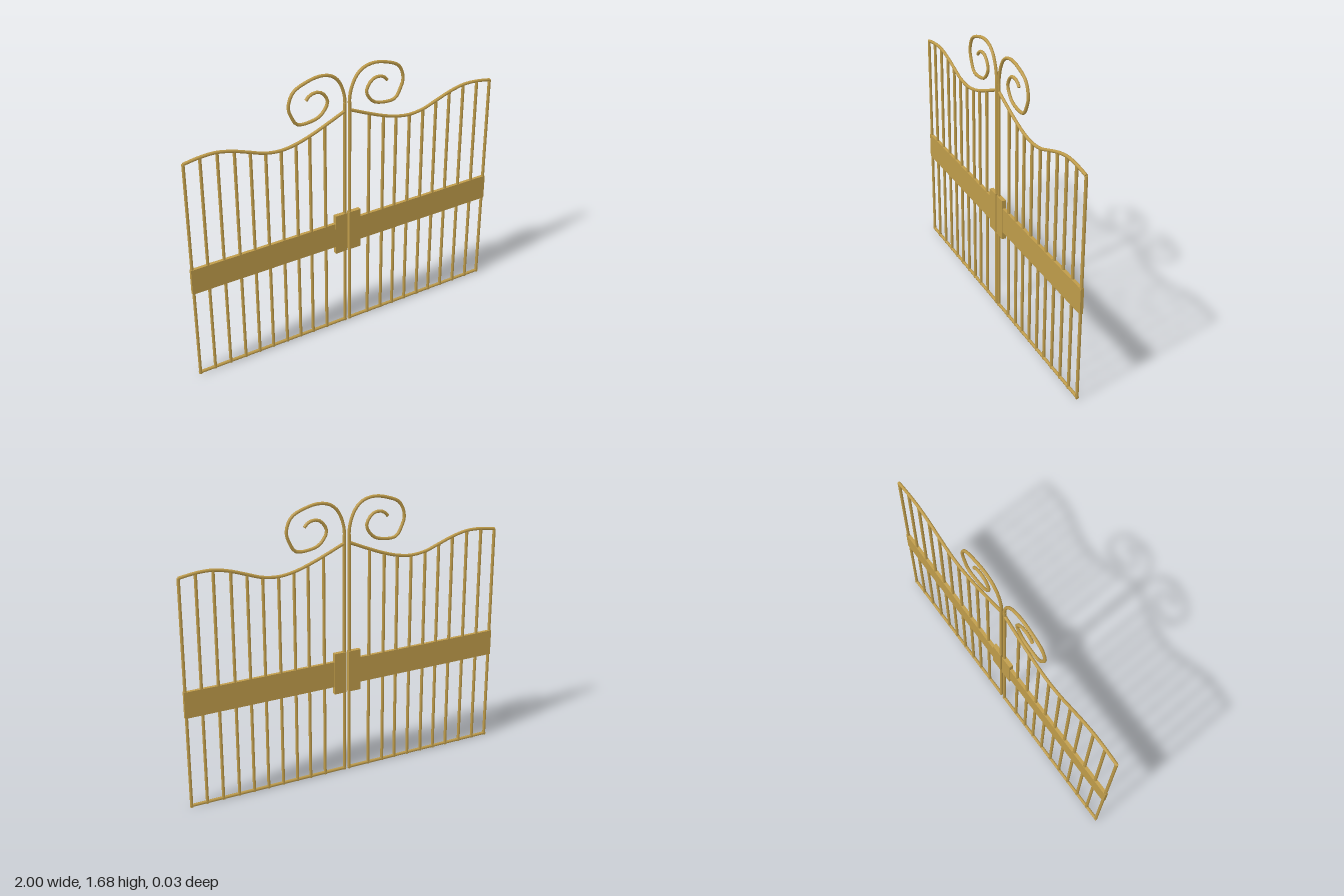
import * as THREE from 'three';

const R = 0.0095; // radius of every rod
const SIDES = 8;

// Half outlines, measured from the centre gap outwards
const RAIL = [[0.014, 1.423], [0.142, 1.367], [0.24, 1.328], [0.33, 1.301], [0.42, 1.289], [0.515, 1.3],
  [0.605, 1.331], [0.7, 1.364], [0.79, 1.384], [0.86, 1.386], [0.93, 1.379], [0.99, 1.369]];
const SCROLL = [[0.015, 1.42], [0.016, 1.5], [0.032, 1.565], [0.064, 1.623], [0.108, 1.656], [0.172, 1.668],
  [0.25, 1.654], [0.337, 1.612], [0.368, 1.53], [0.35, 1.47], [0.316, 1.418], [0.24, 1.413], [0.17, 1.435],
  [0.125, 1.5], [0.134, 1.535], [0.165, 1.57], [0.2, 1.579], [0.237, 1.569], [0.26, 1.545]];
const BARS = [0.145, 0.241, 0.327, 0.419, 0.513, 0.604, 0.697, 0.796, 0.895];

export function createModel() {
  const gate = new THREE.Group();
  gate.name = 'doubleGate';
  const brass = new THREE.MeshStandardMaterial({ color: 0xbf9c4a });
  brass.name = 'brass';

  const add = (parent, name, geometry, x = 0, y = 0, z = 0) => {
    const mesh = new THREE.Mesh(geometry, brass);
    mesh.name = name;
    mesh.position.set(x, y, z);
    parent.add(mesh);
    return mesh;
  };

  // Rod swept along a curve, with a flat cap on each end
  const addRod = (parent, name, curve, steps) => {
    const rod = add(parent, name, new THREE.TubeGeometry(curve, steps, R, SIDES));
    for (const t of [0, 1]) {
      const cap = add(rod, name + 'Cap', new THREE.CircleGeometry(R, SIDES));
      const dir = curve.getTangent(t).multiplyScalar(t ? 1 : -1);
      cap.position.copy(curve.getPoint(t));
      cap.quaternion.setFromUnitVectors(new THREE.Vector3(0, 0, 1), dir);
    }
  };

  for (const side of [-1, 1]) {
    const leaf = new THREE.Group();
    leaf.name = side > 0 ? 'leftLeaf' : 'rightLeaf';
    gate.add(leaf);
    const curveOf = pts => new THREE.CatmullRomCurve3(pts.map(([x, y]) => new THREE.Vector3(side * x, y, 0)));

    // Wavy top rail and the height of its centre at a given x
    const railCurve = curveOf(RAIL);
    addRod(leaf, 'topRail', railCurve, 48);
    const samples = railCurve.getPoints(300);
    const railHeight = x => samples.reduce((a, b) =>
      Math.abs(Math.abs(b.x) - x) < Math.abs(Math.abs(a.x) - x) ? b : a).y;

    // Upright bars, including the outer and inner stiles
    const bar = (name, x, top) =>
      add(leaf, name, new THREE.CylinderGeometry(R, R, top, SIDES), side * x, top / 2);
    BARS.forEach(x => bar('bar', x, railHeight(x)));
    bar('outerStile', 0.99, railHeight(0.99));
    bar('innerStile', 0.016, 1.47);

    // Bottom rail
    const bottom = add(leaf, 'bottomRail', new THREE.CylinderGeometry(R, R, 0.99, SIDES), side * 0.503, R);
    bottom.rotation.z = Math.PI / 2;

    // Flat middle band and lock plate
    add(leaf, 'middleBand', new THREE.BoxGeometry(0.99, 0.157, 0.0195), side * 0.505, 0.639);
    add(leaf, 'lockPlate', new THREE.BoxGeometry(0.077, 0.255, 0.025), side * 0.0455, 0.641);

    // Spiral finial
    addRod(leaf, 'scroll', curveOf(SCROLL), 44);
  }
  return gate;
}
